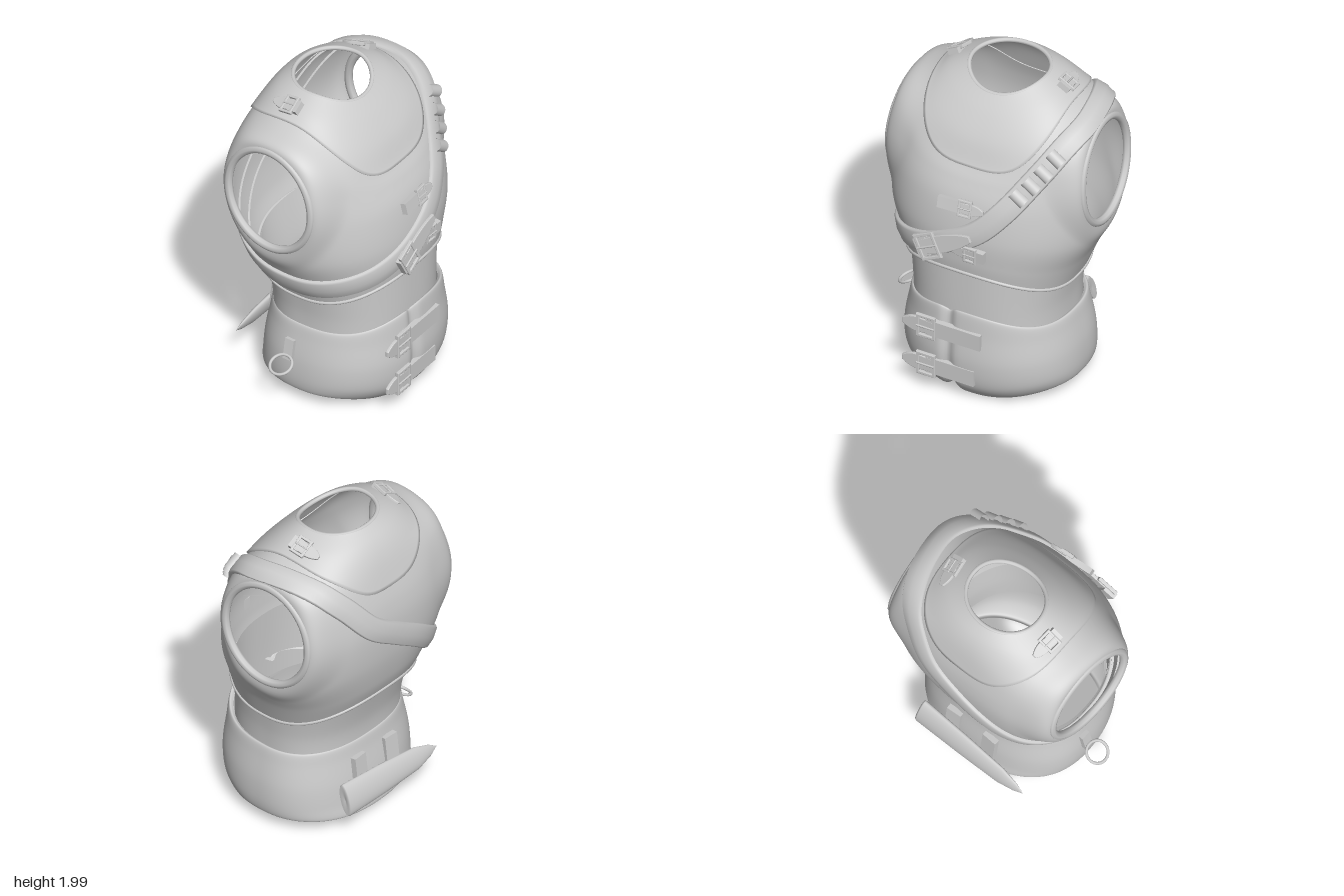
import * as THREE from 'three';

const V = (x, y, z) => new THREE.Vector3(x, y, z);
const mat = new THREE.MeshStandardMaterial({ color: 0xcccccc, side: THREE.DoubleSide });
const TAU = Math.PI * 2;
const { smoothstep, lerp } = THREE.MathUtils;

function mesh(name, geo) {
  const m = new THREE.Mesh(geo, mat);
  m.name = name;
  return m;
}

// Grid surface from fn(u, v), closed in v; keep() can drop cells
function grid(fn, nu, nv, keep) {
  const pos = [], idx = [];
  for (let i = 0; i <= nu; i++)
    for (let j = 0; j < nv; j++) pos.push(...fn(i / nu, j / nv, i).toArray());
  for (let i = 0; i < nu; i++)
    for (let j = 0; j < nv; j++) {
      const k = (j + 1) % nv;
      const [a, b, c, d] = [i * nv + j, i * nv + k, (i + 1) * nv + j, (i + 1) * nv + k];
      if (!keep || keep(i / nu, j / nv, 1 / nu, 1 / nv)) idx.push(a, b, c, b, d, c);
    }
  const g = new THREE.BufferGeometry();
  g.setAttribute('position', new THREE.Float32BufferAttribute(pos, 3));
  g.setIndex(idx);
  g.computeVertexNormals();
  return g;
}

// Body surface from rings [halfWidth, zFront, zBack, zCentre, yFront, ySide, yBack, squarenessFront, squarenessBack]
function body(rings, power, mod = p => p) {
  return (u, v) => {
    const f = Math.min(Math.max(u, 0), 1) * (rings.length - 1);
    const i = Math.min(Math.floor(f), rings.length - 2), t = f - i;
    const R = k => rings[Math.min(Math.max(k, 0), rings.length - 1)];
    const [a, zf, zb, cz, yf, ys, yb, nf, nb] = R(0).map((_, k) => {
      const [p, q, r, s] = [R(i - 1)[k], R(i)[k], R(i + 1)[k], R(i + 2)[k]];
      return q + 0.5 * t * (r - p + t * (2 * p - 5 * q + 4 * r - s + t * (3 * (q - r) + s - p)));
    });
    const s = Math.sin(v * TAU), c = Math.cos(v * TAU), e = 2 / (c > 0 ? nf : nb);
    const x = a * Math.sign(s) * Math.abs(s) ** e;
    const z = cz + ((c > 0 ? zf : zb) - cz) * Math.abs(c) ** e;
    return mod(V(x, ys + ((c > 0 ? yf : yb) - ys) * Math.abs(c) ** power, z));
  };
}

function normalAt(S, u, v) {
  const e = 0.004, u0 = Math.max(u - e, 0), u1 = Math.min(u + e, 1);
  return S(u, v + e).sub(S(u, v - e)).cross(S(u1, v).sub(S(u0, v))).normalize();
}

// Returns a function that drops a point onto a surface
function snapper(S, nu = 130, nv = 200) {
  const pts = [];
  for (let i = 0; i <= nu; i++)
    for (let j = 0; j < nv; j++) pts.push({ p: S(i / nu, j / nv), u: i / nu, v: j / nv });
  return q => {
    let best, bd = Infinity;
    for (const s of pts) {
      const d = s.p.distanceToSquared(q);
      if (d < bd) { bd = d; best = s; }
    }
    const n = normalAt(S, best.u, best.v);
    return { p: q.clone().addScaledVector(n, -q.clone().sub(best.p).dot(n)), n };
  };
}

const loopTube = (pts, r) => new THREE.TubeGeometry(new THREE.CatmullRomCurve3(pts, true), 120, r, 8, true);
const ringPoints = (S, u) => Array.from({ length: 60 }, (_, i) => S(u, i / 60));

// Armhole ellipse in the side plane
const hole = { y: 1.445, z: -0.125, ry: 0.32, rz: 0.3 };
const holeDist = p => Math.abs(p.x) < 0.3 ? 9 : Math.hypot((p.z - hole.z) / hole.rz, (p.y - hole.y) / hole.ry);
const holeX = (y, z) => 0.618 + 0.06 * (z - hole.z) - 0.06 * (y - hole.y);

const torso = body([
  [0.51, 0.475, -0.485, 0, 0.89, 0.75, 0.9, 2.4, 2.4],
  [0.565, 0.485, -0.525, -0.02, 0.98, 0.9, 1.01, 2.35, 2.5],
  [0.64, 0.488, -0.563, -0.05, 1.15, 1.08, 1.2, 2.3, 2.7],
  [0.66, 0.455, -0.572, -0.08, 1.35, 1.3, 1.4, 2.3, 2.9],
  [0.645, 0.4, -0.555, -0.1, 1.48, 1.55, 1.55, 2.35, 2.9],
  [0.61, 0.345, -0.515, -0.12, 1.57, 1.76, 1.69, 2.4, 2.8],
  [0.46, 0.28, -0.465, -0.12, 1.7, 1.85, 1.83, 2.4, 2.5],
  [0.36, 0.19, -0.41, -0.12, 1.82, 1.92, 1.92, 2.2, 2.2],
  [0.238, 0.1, -0.335, -0.12, 1.913, 1.98, 1.985, 2.05, 2.05],
], 2, p => {
  // Flatten the sides outwards towards the armhole plane
  const k = (1 - smoothstep(holeDist(p), 1, 1.45)) * smoothstep(Math.abs(p.x), 0.35, 0.5);
  if (k > 0) p.x = lerp(p.x, Math.sign(p.x) * holeX(p.y, p.z), k);
  return p;
});

const waist = body([
  [0.475, 0.465, -0.37, 0, 0.45, 0.45, 0.45, 2.4, 2.4],
  [0.478, 0.465, -0.385, 0, 0.65, 0.62, 0.65, 2.4, 2.4],
  [0.503, 0.46, -0.46, 0, 0.93, 0.82, 0.93, 2.4, 2.4],
], 2);

// Girdle with a crease where its two front lobes meet
const girdle = body([
  [0.5, 0.39, -0.4, 0, 0.03, 0.1, 0.09],
  [0.53, 0.42, -0.445, 0, 0.008, 0.09, 0.07],
  [0.545, 0.495, -0.435, 0, 0.11, 0.17, 0.16],
  [0.54, 0.52, -0.42, 0, 0.28, 0.3, 0.3],
  [0.515, 0.507, -0.395, 0, 0.47, 0.44, 0.44],
  [0.495, 0.495, -0.38, 0, 0.612, 0.525, 0.53],
  [0.47, 0.47, -0.36, 0, 0.6, 0.515, 0.52],
].map(r => [...r, 2.35, 2.35]), 3.5, p => {
  p.x += 0.015;
  if (p.z > 0.2) {
    const g = Math.exp(-(((p.x + 0.07) / 0.035) ** 2));
    p.z -= 0.025 * g;
    p.y -= 0.1 * g * (p.y - 0.3);
  }
  return p;
});

// Raised ribbon that hugs a surface along a closed path
function ribbon(points, halfWidth, snap) {
  const N = 200, path = new THREE.CatmullRomCurve3(points, true).getSpacedPoints(N).slice(0, N).map(snap);
  const profile = [[-1, -0.012], [-1, 0.014], [-0.85, 0.024], [0, 0.032], [0.85, 0.024], [1, 0.014], [1, -0.012]];
  return grid((u, v, i) => {
    const k = Math.round(v * N) % N, { p, n } = path[k];
    const t = path[(k + 1) % N].p.clone().sub(path[(k + N - 1) % N].p);
    const across = n.clone().cross(t).normalize();
    const s = snap(p.clone().addScaledVector(across, profile[i][0] * halfWidth));
    return s.p.addScaledVector(s.n, profile[i][1]);
  }, profile.length - 1, N);
}

// Orient an object: local z along the normal, local x along dir
function place(obj, p, n, dir) {
  const x = dir.clone().addScaledVector(n, -dir.dot(n)).normalize();
  obj.quaternion.setFromRotationMatrix(new THREE.Matrix4().makeBasis(x, n.clone().cross(x), n));
  obj.position.copy(p);
  return obj;
}

// Buckle at the origin: band runs to -x, tapered strap end to +x
function buckle(name, w, bandLength, tipLength) {
  const g = new THREE.Group(), fw = w * 0.55, fh = w * 0.7, r = w * 0.11;
  g.name = name;
  const rect = (C, a, b) => new C([[-a, -b], [a, -b], [a, b], [-a, b]].map(q => new THREE.Vector2(...q)));
  const frame = rect(THREE.Shape, fw, fh);
  frame.holes.push(rect(THREE.Path, fw - r, fh - r));
  const bevel = { bevelSize: 0.004, bevelThickness: 0.004, bevelSegments: 2 };
  const f = mesh('buckleFrame', new THREE.ExtrudeGeometry(frame, { depth: 0.014, ...bevel }));
  f.position.z = 0.006;
  const band = mesh('buckleBand', new THREE.BoxGeometry(bandLength, w, 0.035));
  band.position.x = -bandLength / 2;
  const h = w * 0.45, L = tipLength;
  const s = new THREE.Shape();
  s.moveTo(-fw, -h * 0.8);
  s.lineTo(fw, -h);
  s.quadraticCurveTo(L * 0.7, -h, L, -h * 0.3);
  s.lineTo(L, h * 0.3);
  s.quadraticCurveTo(L * 0.7, h, fw, h);
  s.lineTo(-fw, h * 0.8);
  const tip = mesh('strapEnd', new THREE.ExtrudeGeometry(s, { depth: 0.012, ...bevel }));
  tip.position.z = 0.002;
  const prong = mesh('buckleProng', new THREE.CylinderGeometry(w * 0.06, w * 0.06, fw * 2, 8));
  prong.rotation.z = Math.PI / 2;
  prong.position.z = 0.024;
  g.add(f, band, tip, prong);
  return g;
}

export function createModel() {
  const model = new THREE.Group();
  const snap = snapper(torso);

  // Chest piece, cut open at the armholes
  model.add(mesh('chestPiece', grid((u, v) => {
    const p = torso(u, v), d = holeDist(p);
    if (d < 1) {
      const k = 1 / Math.max(d, 0.01);
      p.y = hole.y + (p.y - hole.y) * k;
      p.z = hole.z + (p.z - hole.z) * k;
      p.x = Math.sign(p.x) * holeX(p.y, p.z);
    }
    return p;
  }, 80, 200, (u, v, du, dv) =>
    [[0, 0], [du, 0], [0, dv], [du, dv]].some(([a, b]) => holeDist(torso(u + a, v + b)) >= 1))));
  model.add(mesh('chestHem', loopTube(ringPoints(torso, 0), 0.011)));
  model.add(mesh('neckRim', loopTube(ringPoints(torso, 1), 0.014)));
  for (const side of [-1, 1]) {
    const pts = Array.from({ length: 40 }, (_, i) => {
      const a = i / 40 * TAU, y = hole.y + hole.ry * Math.sin(a), z = hole.z + hole.rz * Math.cos(a);
      return V(side * (holeX(y, z) - 0.01), y, z);
    });
    model.add(mesh('armholeRim', loopTube(pts, 0.025)));
  }

  // Collar yoke lying over the chest piece, with a rounded square outline
  const inYoke = p => Math.abs(p.x / 0.425) ** 3 + Math.abs((p.z + 0.085) / 0.44) ** 3 < 1;
  const yokeStart = v => {
    let lo = 0.45, hi = 1;
    for (let i = 0; i < 20; i++) {
      const m = (lo + hi) / 2;
      if (inYoke(torso(m, v))) hi = m; else lo = m;
    }
    return hi;
  };
  model.add(mesh('collarYoke', grid((u, v, i) => {
    const a = yokeStart(v), w = a + (1 - a) * Math.max(0, (i - 1) / 23);
    return torso(w, v).addScaledVector(normalAt(torso, w, v), i === 0 ? -0.005 : 0.012);
  }, 24, 160)));

  model.add(mesh('waistband', grid(waist, 16, 120)));
  model.add(mesh('girdle', grid(girdle, 48, 240)));

  // Diagonal strap round the body
  model.add(mesh('shoulderStrap', ribbon([
    V(-0.57, 0.875, 0), V(-0.46, 0.93, 0.28), V(-0.3, 0.99, 0.42), V(-0.12, 1.07, 0.48), V(0.1, 1.2, 0.48),
    V(0.25, 1.36, 0.44), V(0.39, 1.56, 0.33), V(0.49, 1.72, 0.18), V(0.55, 1.81, 0), V(0.54, 1.83, -0.15),
    V(0.48, 1.79, -0.33), V(0.36, 1.67, -0.47), V(0.2, 1.48, -0.55), V(0, 1.34, -0.57), V(-0.2, 1.2, -0.56),
    V(-0.42, 1.01, -0.45), V(-0.55, 0.895, -0.2),
  ], 0.07, snap)));

  // Small half-round loops on the strap
  for (let i = 0; i < 4; i++) {
    const t = i / 3, s = snap(V(0.335 + 0.14 * t, 1.48 + 0.195 * t, 0.4 - 0.21 * t));
    const g = new THREE.Group();
    g.name = 'strapLoop';
    g.add(mesh('loopArch', new THREE.CylinderGeometry(0.036, 0.036, 0.095, 14, 1, true, -Math.PI / 2, Math.PI)));
    model.add(place(g, s.p.addScaledVector(s.n, 0.028), s.n, V(0.14, 0.2, -0.21)));
  }

  // Buckles on strap, chest and shoulders: [name, width, band, tip, position, direction, lift]
  const buckles = [
    ['strapBuckle', 0.115, 0.08, 0.29, V(-0.17, 1.055, 0.5), V(0.9, 0.44, 0), 0.055],
    ['upperChestBuckle', 0.07, 0.17, 0.11, V(0.03, 1.345, 0.46), V(1, 0, 0), 0.012],
    ['lowerChestBuckle', 0.07, 0.09, 0.12, V(0.08, 1.06, 0.49), V(-1, 0, 0), 0.012],
    ...[-1, 1].map(s => ['shoulderBuckle', 0.075, 0.07, 0.12, V(s * 0.345, 1.93, -0.16), V(0, 0, -1), 0.015]),
  ];
  for (const [name, w, band, tip, at, dir, lift] of buckles) {
    const s = snap(at), n = snap(at.clone().addScaledVector(dir, tip * 0.8)).n;
    model.add(place(buckle(name, w, band, tip), s.p.addScaledVector(s.n, lift), n, dir));
  }
  for (const [y, len] of [[0.455, 0.35], [0.19, 0.31]])
    model.add(place(buckle('girdleBuckle', 0.105, len, 0.15), V(-0.2, y, 0.505), V(0, 0, 1), V(-1, 0, 0)));

  // Sheath across the back with two hanging loops
  const profile = [[0, 0.01], [0.09, 0], [0.1, 0.01], [0.088, 0.32], [0.068, 0.6], [0.035, 0.71], [0, 0.77]];
  const sheath = mesh('sheath', new THREE.LatheGeometry(profile.map(q => new THREE.Vector2(...q)), 24));
  sheath.geometry.scale(1, 1, 0.33).rotateZ(Math.PI / 2 + 0.05).rotateX(0.33);
  sheath.position.set(0.34, 0.27, -0.478);
  model.add(sheath);
  for (const x of [0.14, -0.12]) {
    const loop = mesh('sheathLoop', new THREE.BoxGeometry(0.095, 0.19, 0.035));
    loop.position.set(x, 0.355, -0.415);
    loop.rotation.set(0.12, x * 0.5, 0);
    model.add(loop);
  }

  // Side tab with hanging ring
  const tab = mesh('sideTab', new THREE.BoxGeometry(0.03, 0.13, 0.06));
  tab.position.set(-0.525, 0.36, -0.045);
  tab.rotation.z = -0.2;
  const ring = mesh('sideRing', new THREE.TorusGeometry(0.066, 0.009, 8, 32));
  ring.quaternion.setFromUnitVectors(V(0, 0, 1), V(0.45, -0.89, 0).normalize());
  ring.position.set(-0.61, 0.3, -0.045);
  model.add(tab, ring);
  return model;
}
